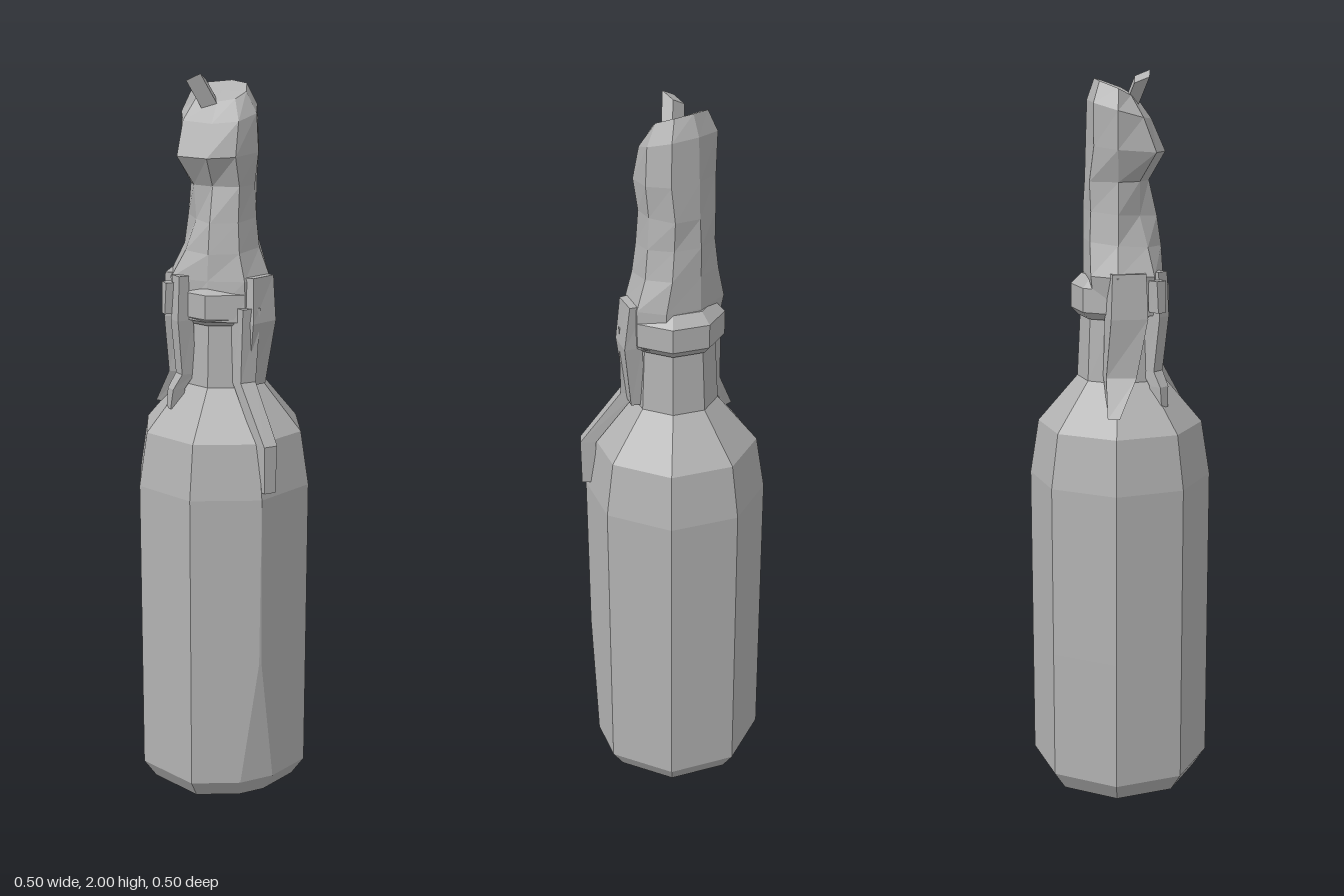
import * as THREE from 'three';

const grey = new THREE.MeshStandardMaterial({ color: 0xb2b2b2 });
grey.name = 'grey';

// Skin closed horizontal rings (listed bottom to top) with flat facets and caps
function loft(name, rings) {
  const pos = [];
  const n = rings[0].length;
  const tri = (a, b, c) => pos.push(...a, ...b, ...c);
  const middle = (ring) => [0, 1, 2].map((k) => ring.reduce((s, p) => s + p[k], 0) / n);
  for (let j = 0; j < rings.length - 1; j++) {
    for (let i = 0; i < n; i++) {
      const k = (i + 1) % n;
      tri(rings[j][i], rings[j + 1][i], rings[j][k]);
      tri(rings[j][k], rings[j + 1][i], rings[j + 1][k]);
    }
  }
  const low = rings[0], high = rings[rings.length - 1];
  for (let i = 0; i < n; i++) {
    const k = (i + 1) % n;
    tri(middle(low), low[i], low[k]);
    tri(middle(high), high[k], high[i]);
  }
  const geo = new THREE.BufferGeometry();
  geo.setAttribute('position', new THREE.Float32BufferAttribute(pos, 3));
  geo.computeVertexNormals();
  const mesh = new THREE.Mesh(geo, grey);
  mesh.name = name;
  return mesh;
}

const rad = THREE.MathUtils.degToRad;

// Octagonal ring; the front left corner can be split into a small bevel
function bottleRing([r, y, bevel = 0]) {
  const ring = [];
  for (let i = 0; i < 8; i++) {
    const a = rad(i * 45);
    const x = r * Math.cos(a), z = r * Math.sin(a);
    if (i === 1) {
      ring.push([x + bevel * 0.38, y, z - bevel * 0.92]);
      ring.push([x - bevel * 0.92, y, z + bevel * 0.38]);
    } else ring.push([x, y, z]);
  }
  return ring;
}

// Uneven wax ring from its left, right, back and front extents
function waxRing([y, xl, xr, zb, zf, slope, dents]) {
  return dents.map((d, i) => {
    const c = Math.cos(rad(i * 45)) * d, s = Math.sin(rad(i * 45)) * d;
    return [c * (c > 0 ? xr : -xl), y - s * slope, s * (s > 0 ? zf : -zb)];
  });
}

// Drip hugging the bottle; points are [angle, radius, height, half width, half depth]
function drip(name, points) {
  return loft(name, points.map(([deg, r, y, w, d]) => {
    const a = rad(deg), c = Math.cos(a), s = Math.sin(a);
    return [[d, -w], [d, w * 0.8], [-d, w], [-d, -w]].map(([u, t]) =>
      [c * (r + u) - s * t, y, s * (r + u) + c * t]);
  }));
}

export function createModel() {
  const model = new THREE.Group();
  model.name = 'candleInBottle';

  // Bottle body, shoulder and neck
  model.add(loft('bottle', [
    [0.215, 0, 0.04], [0.252, 0.055, 0.055], [0.252, 0.42, 0.004], [0.252, 0.9],
    [0.228, 1.05], [0.118, 1.18], [0.108, 1.38],
  ].map(bottleRing)));

  // Bottle lip
  model.add(loft('bottleLip', [
    [0.115, 1.35], [0.134, 1.37], [0.134, 1.435], [0.105, 1.465],
  ].map(bottleRing)));

  // Melted candle: skirt, waist, bulge and sloping top
  model.add(loft('candle', [
    [1.362, -0.128, 0.132, -0.09, 0.128, 0, [1, 1.06, 1, 1.06, 1, 1, 1, 1]],
    [1.47, -0.153, 0.135, -0.1, 0.13, 0, [1, 1, 0.9, 1.05, 1, 1.03, 1, 0.97]],
    [1.55, -0.112, 0.104, -0.1, 0.112, 0.01, [1, 1.05, 1, 0.98, 1, 1.08, 1, 1.05]],
    [1.63, -0.1, 0.095, -0.1, 0.1, 0.01, [1, 1.05, 1, 0.78, 1, 1.05, 1, 1]],
    [1.715, -0.092, 0.09, -0.1, 0.082, 0, [1, 1.1, 0.95, 0.95, 1, 1.1, 0.95, 1.08]],
    [1.8, -0.118, 0.1, -0.092, 0.128, 0.01, [1, 0.95, 0.95, 1.1, 1, 1, 1, 1.08]],
    [1.9, -0.118, 0.094, -0.088, 0.088, 0.025, [1, 1, 0.95, 1.05, 1, 1.05, 1, 1.08]],
    [1.955, -0.09, 0.065, -0.068, 0.045, 0.025, [1, 1, 1, 1, 1, 1.05, 1, 1.05]],
  ].map(waxRing)));

  // Wick, leaning forward and to the side
  const wickLean = [[-0.015, 1.9, 0.025], [-0.052, 1.985, 0.06]];
  model.add(loft('wick', wickLean.map(([x, y, z]) =>
    [[1, -1], [1, 1], [-1, 1], [-1, -1]].map(([u, v]) =>
      [x + u * 0.02, y + u * 0.009 + v * 0.008, z + v * 0.02]))));

  // Wax running down the neck and shoulder
  model.add(drip('longDrip', [
    [41, 0.245, 0.92, 0.018, 0.016], [41, 0.24, 1.05, 0.022, 0.022],
    [43, 0.125, 1.2, 0.025, 0.022], [40, 0.125, 1.4, 0.03, 0.025],
  ]));
  model.add(drip('leftWax', [
    [27, 0.11, 1.185, 0.035, 0.022], [25, 0.13, 1.36, 0.048, 0.024], [22, 0.12, 1.48, 0.045, 0.022],
  ]));
  model.add(drip('rightWax', [
    [183, 0.18, 1.1, 0.018, 0.018], [178, 0.12, 1.2, 0.045, 0.022],
    [170, 0.128, 1.36, 0.055, 0.024], [170, 0.125, 1.48, 0.05, 0.024],
  ]));
  model.add(drip('frontDrip', [
    [132, 0.15, 1.115, 0.014, 0.018], [131, 0.145, 1.17, 0.018, 0.018],
    [130, 0.118, 1.21, 0.02, 0.02], [128, 0.13, 1.36, 0.022, 0.024], [128, 0.13, 1.48, 0.02, 0.018],
  ]));

  // Small wax lump beside the front drip
  model.add(drip('waxLump', [
    [138, 0.155, 1.375, 0.014, 0.018], [138, 0.155, 1.46, 0.018, 0.015],
  ]));

  return model;
}
